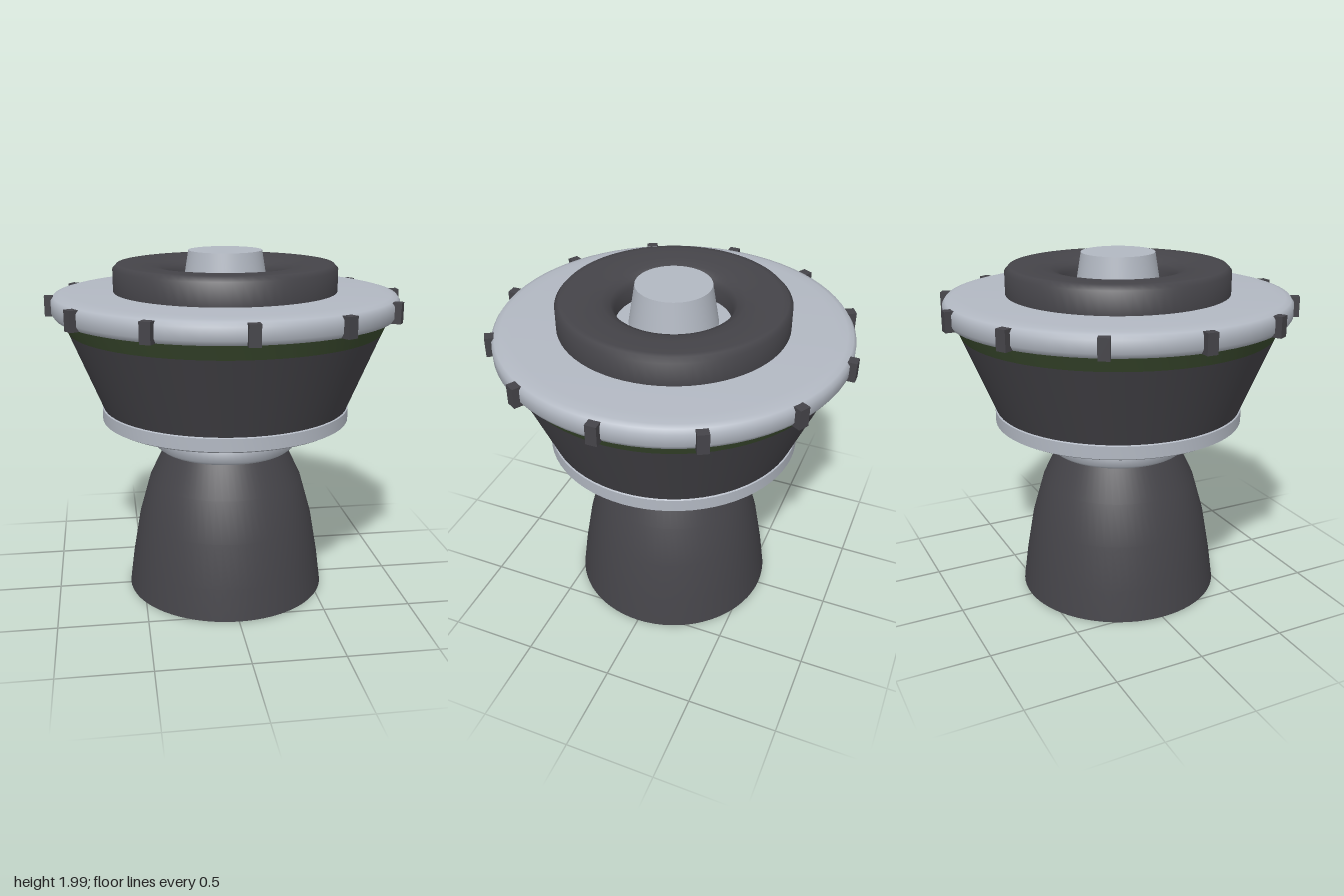
import * as THREE from 'three';
import { toCreasedNormals } from 'three/addons/utils/BufferGeometryUtils.js';

export function createModel() {
  const model = new THREE.Group();
  model.name = 'engineThruster';

  const material = (name, color, side = THREE.FrontSide) => {
    const m = new THREE.MeshStandardMaterial({ color, side });
    m.name = name;
    return m;
  };
  const metal = material('lightMetal', 0xb2b8c2);
  const dark = material('darkMetal', 0x454449, THREE.DoubleSide);
  const green = material('greenBand', 0x3a4a2e);

  // Turned part from [radius, height] pairs, listed bottom to top along the outside
  const turned = (name, mat, profile, crease = 0.9) => {
    const points = profile.map(([r, y]) => new THREE.Vector2(r, y));
    const geometry = toCreasedNormals(new THREE.LatheGeometry(points, 72), crease);
    const mesh = new THREE.Mesh(geometry, mat);
    mesh.name = name;
    model.add(mesh);
  };

  // Open nozzle bell: inner wall from the throat down, round the lip, outer wall up
  turned('nozzleBell', dark, [
    [0, 0.9], [0.31, 0.86], [0.42, 0.67], [0.488, 0.44], [0.532, 0.19], [0.555, 0.01],
    [0.565, 0], [0.577, 0.005], [0.553, 0.19], [0.51, 0.44], [0.445, 0.67], [0.35, 0.87],
  ]);

  // Collar and neck
  turned('nozzleCollar', metal, [
    [0, 0.855], [0.36, 0.855], [0.382, 0.86], [0.407, 0.88],
    [0.407, 0.965], [0.382, 0.985], [0.36, 0.987], [0, 0.987],
  ]);
  turned('neck', dark, [[0.295, 0.98], [0.262, 1.04]]);

  // Lower disc
  turned('lowerDisc', metal, [
    [0, 1.03], [0.65, 1.03], [0.685, 1.033], [0.707, 1.045],
    [0.707, 1.115], [0.69, 1.125], [0, 1.125],
  ]);

  // Flared body with its painted band
  turned('flaredBody', dark, [[0.7, 1.12], [0.88, 1.56]]);
  turned('bodyBand', green, [[0.88, 1.56], [0.917, 1.645]]);

  // Upper flange
  turned('upperFlange', metal, [
    [0, 1.64], [0.92, 1.64], [0.95, 1.645], [0.966, 1.67],
    [0.966, 1.735], [0.95, 1.757], [0.92, 1.765], [0.86, 1.77], [0, 1.77],
  ]);

  // Raised ring with a dished centre
  turned('raisedRing', dark, [
    [0.625, 1.765], [0.625, 1.895], [0.602, 1.92], [0.57, 1.92],
    [0.45, 1.918], [0.38, 1.905], [0.335, 1.885], [0.312, 1.85], [0.312, 1.765],
  ]);

  // Central cap
  turned('centreCap', metal, [[0.242, 1.765], [0.205, 1.99], [0, 1.99]]);

  // Twelve lugs around the flange
  const lugGeometry = new THREE.BoxGeometry(0.06, 0.11, 0.06);
  for (let i = 0; i < 12; i++) {
    const angle = (i * Math.PI) / 6;
    const lug = new THREE.Mesh(lugGeometry, dark);
    lug.name = 'flangeLug' + (i + 1);
    lug.position.set(Math.sin(angle) * 0.97, 1.7, Math.cos(angle) * 0.97);
    lug.rotation.y = angle;
    model.add(lug);
  }

  return model;
}
